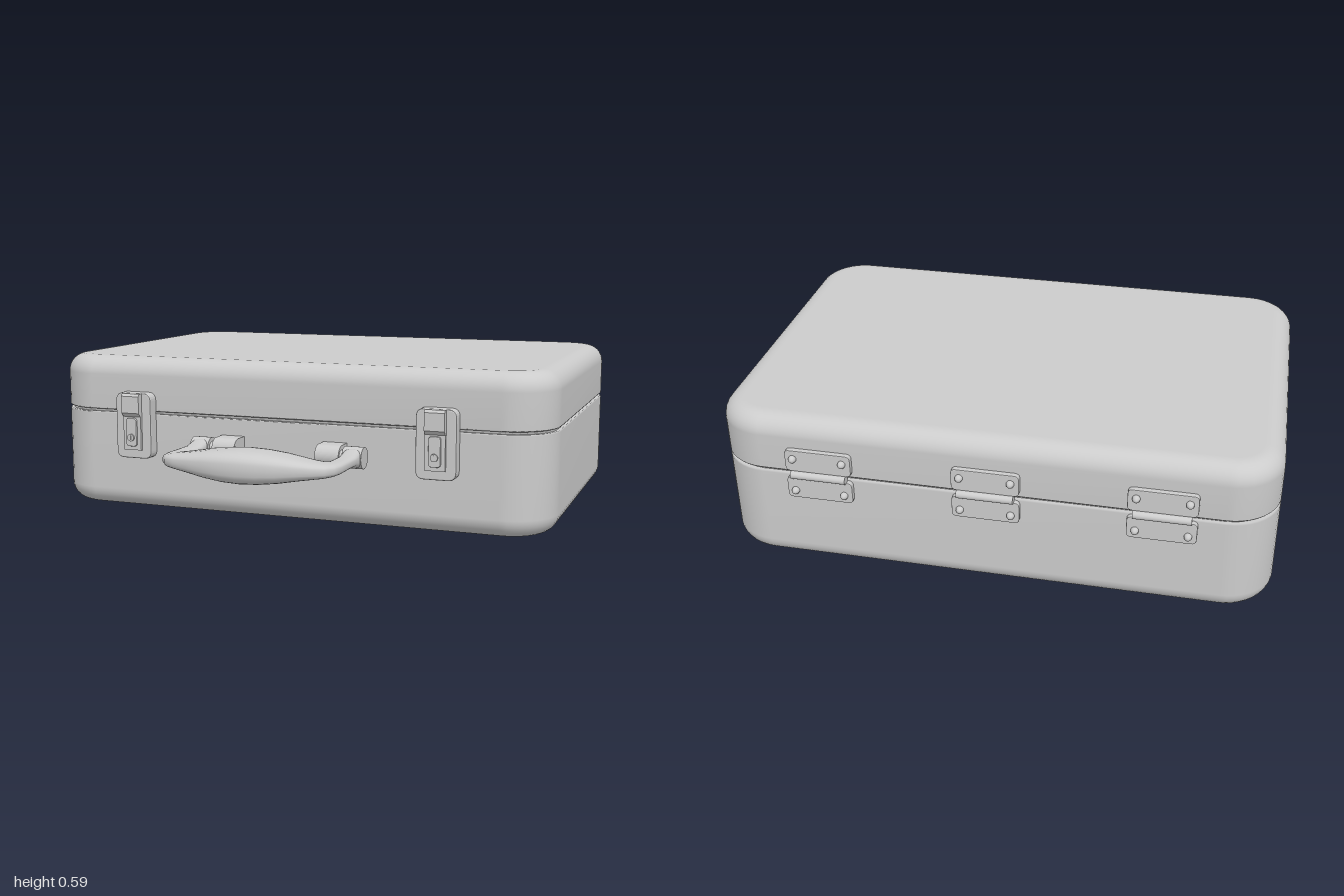
import * as THREE from 'three';

const material = new THREE.MeshStandardMaterial({ color: 0xcccccc });
const BODY_Z = -0.197, FRONT = 0.475, BACK = -0.87;

function add(parent, name, geometry, x = 0, y = 0, z = 0) {
  const mesh = new THREE.Mesh(geometry, material);
  mesh.name = name;
  mesh.position.set(x, y, z);
  parent.add(mesh);
  return mesh;
}

// Skin closed rings of points in order and cap both ends
function loft(rings) {
  const n = rings[0].length, pos = [], idx = [];
  rings.forEach(r => r.forEach(p => pos.push(p.x, p.y, p.z)));
  for (let i = 0; i < rings.length - 1; i++) {
    for (let j = 0; j < n; j++) {
      const k = (j + 1) % n, a = i * n + j, b = i * n + k;
      idx.push(a, b, b + n, a, b + n, a + n);
    }
  }
  [0, rings.length - 1].forEach((r, end) => {
    const c = rings[r].reduce((s, p) => s.add(p), new THREE.Vector3()).divideScalar(n);
    const ci = pos.length / 3;
    pos.push(c.x, c.y, c.z);
    for (let j = 0; j < n; j++) {
      const a = r * n + j, b = r * n + (j + 1) % n;
      if (end) idx.push(ci, a, b); else idx.push(ci, b, a);
    }
  });
  const g = new THREE.BufferGeometry();
  g.setAttribute('position', new THREE.Float32BufferAttribute(pos, 3));
  g.setIndex(idx);
  g.computeVertexNormals();
  return g;
}

// Horizontal rounded rectangle of the case, shrunk by an inset
function caseRing(inset, y) {
  const pts = [], R = 0.18, r = R - inset, steps = 10;
  for (let q = 0; q < 4; q++) {
    const sx = q === 0 || q === 3 ? 1 : -1, sz = q < 2 ? -1 : 1;
    for (let i = 0; i <= steps; i++) {
      const t = (q + i / steps) * Math.PI / 2;
      pts.push(new THREE.Vector3(sx * (1 - R) + r * Math.cos(t), y,
        BODY_Z + sz * (0.672 - R) - r * Math.sin(t)));
    }
  }
  return pts;
}

// Quarter-round edge from the wall (0) to the flat face (1)
function edge(y, dir, radius) {
  const rings = [];
  for (let i = 0; i <= 8; i++) {
    const t = i / 8 * Math.PI / 2;
    rings.push(caseRing(radius * (1 - Math.cos(t)), y + dir * radius * (Math.sin(t) - 1)));
  }
  rings.push(caseRing(radius + 0.008, y));
  return rings;
}

// Flat plate with rounded corners and a small bevel, facing +z from z = 0
function plate(w, h, depth, r, bevel = 0.005) {
  const s = new THREE.Shape(), x = w / 2 - bevel, y = h / 2 - bevel;
  s.moveTo(-x + r, -y);
  s.lineTo(x - r, -y); s.quadraticCurveTo(x, -y, x, -y + r);
  s.lineTo(x, y - r); s.quadraticCurveTo(x, y, x - r, y);
  s.lineTo(-x + r, y); s.quadraticCurveTo(-x, y, -x, y - r);
  s.lineTo(-x, -y + r); s.quadraticCurveTo(-x, -y, -x + r, -y);
  const g = new THREE.ExtrudeGeometry(s, {
    depth: depth - bevel, bevelEnabled: true, bevelSize: bevel,
    bevelThickness: bevel, bevelSegments: 2, curveSegments: 6
  });
  return g;
}

// Extrude a side profile given as (z, y) along x, centred
function sideExtrude(shape, width) {
  const g = new THREE.ExtrudeGeometry(shape, { depth: width, bevelEnabled: false, curveSegments: 16 });
  return g.translate(0, 0, -width / 2).rotateY(-Math.PI / 2);
}

function makeCase(parent) {
  add(parent, 'lowerShell', loft([
    ...edge(0.003, -1, 0.07).reverse(), caseRing(0, 0.375), caseRing(0.004, 0.38)]));
  add(parent, 'seamRim', loft([caseRing(0.014, 0.36), caseRing(0.014, 0.41)]));
  add(parent, 'lid', loft([
    caseRing(0.004, 0.39), caseRing(0, 0.395), ...edge(0.598, 1, 0.07)]));
}

function makeLatch(x) {
  const latch = new THREE.Group();
  latch.name = 'latch';
  latch.position.set(x, 0, FRONT);
  add(latch, 'latchPlate', plate(0.15, 0.255, 0.045, 0.025), 0, 0.338);
  // Raised clasp with a sloping lower end
  const clasp = new THREE.Shape();
  clasp.moveTo(0.02, 0.465);
  clasp.lineTo(0.062, 0.465);
  clasp.lineTo(0.07, 0.455);
  clasp.lineTo(0.07, 0.39);
  clasp.lineTo(0.056, 0.375);
  clasp.lineTo(0.056, 0.245);
  clasp.lineTo(0.02, 0.24);
  // Shape is drawn in (z, y); flip so that z points forward
  add(latch, 'clasp', sideExtrude(clasp, 0.075).rotateY(0));
  add(latch, 'lockPlate', plate(0.045, 0.11, 0.012, 0.01, 0.003), 0, 0.315, 0.053);
  add(latch, 'lockBarrel', new THREE.CylinderGeometry(0.014, 0.014, 0.008, 20)
    .rotateX(Math.PI / 2), 0, 0.295, 0.067);
  add(latch, 'keySlot', new THREE.BoxGeometry(0.004, 0.018, 0.004), 0, 0.295, 0.071);
  return latch;
}

function makeHinge(x) {
  const hinge = new THREE.Group();
  hinge.name = 'hinge';
  hinge.position.set(x, 0.391, BACK);
  hinge.rotation.y = Math.PI;
  for (const s of [-1, 1]) {
    add(hinge, 'hingeLeaf', plate(0.24, 0.085, 0.018, 0.015, 0.003), 0, s * 0.056);
    for (const t of [-1, 1]) {
      add(hinge, 'rivet', new THREE.SphereGeometry(0.014, 14, 8)
        .scale(1, 1, 1.3), t * 0.09, s * 0.066, 0.02);
    }
  }
  add(hinge, 'hingeWeb', new THREE.BoxGeometry(0.2, 0.05, 0.014), 0, 0, 0.007);
  add(hinge, 'hingeBarrel', new THREE.CylinderGeometry(0.015, 0.015, 0.2, 16)
    .rotateZ(Math.PI / 2), 0, 0, 0.02);
  return hinge;
}

function makeHandle() {
  const handle = new THREE.Group(), Y = 0.276;
  handle.name = 'handle';
  // Right-hand sections: inner x, z, outer x, z, half height
  const half = [
    [0.268, 0.535, 0.338, 0.535, 0.036], [0.268, 0.565, 0.338, 0.565, 0.034],
    [0.268, 0.615, 0.338, 0.615, 0.02], [0.268, 0.69, 0.338, 0.70, 0.02],
    [0.268, 0.715, 0.338, 0.765, 0.021], [0.265, 0.728, 0.328, 0.81, 0.023],
    [0.258, 0.735, 0.302, 0.842, 0.026], [0.24, 0.736, 0.262, 0.859, 0.03],
    [0.2, 0.73, 0.205, 0.875, 0.038], [0.14, 0.72, 0.14, 0.893, 0.049],
    [0.07, 0.713, 0.07, 0.906, 0.057], [0, 0.711, 0, 0.91, 0.06]];
  const mirrored = half.slice(0, -1).reverse().map(([a, b, c, d, h]) => [-a, b, -c, d, h]);
  const pw = (v, e) => Math.sign(v) * Math.abs(v) ** e;
  const rings = [...half, ...mirrored].map(([ix, iz, ox, oz, h]) =>
    Array.from({ length: 28 }, (_, j) => {
      const t = j / 28 * Math.PI * 2, u = (1 + pw(Math.cos(t), 0.7)) / 2;
      return new THREE.Vector3(ix + (ox - ix) * u, Y + h * pw(Math.sin(t), 0.7), iz + (oz - iz) * u);
    }));
  add(handle, 'grip', loft(rings));

  // D-shaped lug fixed to the case
  const lug = new THREE.Shape();
  lug.moveTo(0, -0.04);
  lug.lineTo(0.057, -0.04);
  lug.absarc(0.057, 0, 0.04, -Math.PI / 2, Math.PI / 2, false);
  lug.lineTo(0, 0.04);
  for (const s of [-1, 1]) {
    add(handle, 'handleKnuckle', new THREE.CylinderGeometry(0.04, 0.04, 0.074, 28)
      .rotateZ(Math.PI / 2), s * 0.303, Y, 0.535);
    add(handle, 'handleLug', sideExtrude(lug, 0.092), s * 0.206, Y, FRONT - 0.003);
    add(handle, 'hingePin', new THREE.CylinderGeometry(0.025, 0.025, 0.05, 20)
      .rotateZ(Math.PI / 2), s * 0.26, Y, 0.535);
  }
  return handle;
}

export function createModel() {
  const model = new THREE.Group();
  model.name = 'suitcase';
  makeCase(model);
  for (const x of [-0.61, 0.6]) model.add(makeLatch(x));
  for (const x of [-0.61, 0, 0.6]) model.add(makeHinge(x));
  model.add(makeHandle());
  return model;
}
